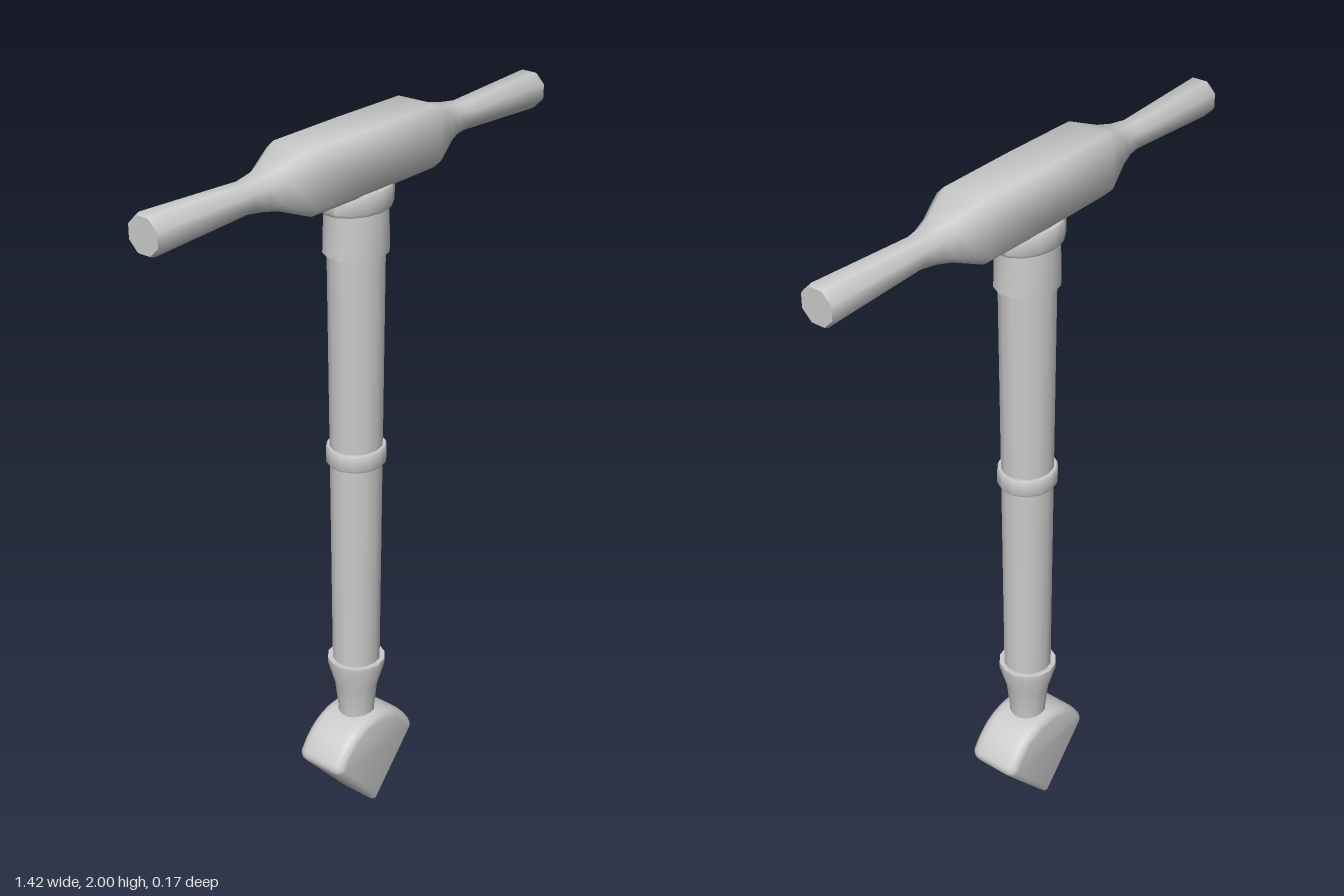
import * as THREE from 'three';
import { toCreasedNormals } from 'three/addons/utils/BufferGeometryUtils.js';

const material = new THREE.MeshStandardMaterial({ color: 0xcccccc });

// Skin a stack of rings { y, points: [[x, z], ...] } and cap both ends.
function loft(rings, crease) {
  const n = rings[0].points.length, last = (rings.length - 1) * n;
  const pos = [], index = [];
  for (const { y, points } of rings) for (const [x, z] of points) pos.push(x, y, z);
  for (let i = 0; i < rings.length - 1; i++) {
    for (let j = 0; j < n; j++) {
      const a = i * n + j, b = i * n + (j + 1) % n;
      index.push(a, b, b + n, a, b + n, a + n);
    }
  }
  for (let j = 1; j < n - 1; j++) {
    index.push(0, j + 1, j);
    index.push(last, last + j, last + j + 1);
  }
  const g = new THREE.BufferGeometry();
  g.setAttribute('position', new THREE.Float32BufferAttribute(pos, 3));
  g.setIndex(index);
  return toCreasedNormals(g, crease);
}

function ellipse(y, rx, rz, n = 14) {
  const points = [];
  for (let i = 0; i < n; i++) {
    const a = ((i + 0.5) / n) * Math.PI * 2;
    points.push([rx * Math.cos(a), -rz * Math.sin(a)]);
  }
  return { y, points };
}

// Rectangle with cut corners; c is the cut as a share of the half size.
function cutRect(y, hx, hz, c) {
  const ix = hx * (1 - c), iz = hz * (1 - c);
  return { y, points: [[hx, iz], [hx, -iz], [ix, -hz], [-ix, -hz], [-hx, -iz], [-hx, iz], [-ix, hz], [ix, hz]] };
}

export function createModel() {
  const model = new THREE.Group();
  const add = (name, geometry) => {
    const mesh = new THREE.Mesh(geometry, material);
    mesh.name = name;
    model.add(mesh);
    return mesh;
  };

  // Round parts, bottom to top: [y, x radius, z radius]
  const roundParts = {
    lowerSocket: [[0.28, 0.05, 0.05], [0.31, 0.051, 0.051], [0.39, 0.06, 0.06], [0.46, 0.08, 0.08], [0.475, 0.08, 0.08]],
    shaft: [[0.44, 0.066, 0.066], [1.1, 0.073, 0.068], [1.7, 0.08, 0.07]],
    middleBand: [[1.087, 0.08, 0.076], [1.093, 0.083, 0.079], [1.13, 0.083, 0.079], [1.136, 0.08, 0.076]],
    upperCollar: [[1.675, 0.09, 0.081], [1.8, 0.086, 0.078]],
    topRing: [[1.79, 0.102, 0.08], [1.798, 0.107, 0.084], [1.835, 0.107, 0.084], [1.845, 0.102, 0.08]],
  };
  for (const [name, rows] of Object.entries(roundParts)) {
    add(name, loft(rows.map(([y, rx, rz]) => ellipse(y, rx, rz)), 0.75));
  }

  // Crossbar: thick block narrowing into two flared grips
  // [distance from middle, half height, half depth, corner cut]
  const half = [
    [0.23, 0.08, 0.081, 0.28], [0.31, 0.05, 0.053, 0.4], [0.35, 0.042, 0.043, 0.5],
    [0.4, 0.036, 0.037, 0.55], [0.7, 0.048, 0.049, 0.58], [0.71, 0.044, 0.045, 0.58],
  ];
  const rows = [
    ...half.map(([d, ...r]) => [-d, ...r]).reverse(),
    [0, 0.08, 0.085, 0.28],
    ...half,
  ];
  const bar = loft(rows.map((r) => cutRect(...r)), 0.9);
  bar.rotateZ(-Math.PI / 2);
  add('handle', bar).position.y = 1.92;

  // Pointed foot: a wedge with a domed top and bevelled rims
  const outline = new THREE.Shape();
  outline.moveTo(0, 0.004);
  outline.lineTo(0.155, 0.177);
  outline.quadraticCurveTo(0.167, 0.191, 0.157, 0.21);
  outline.bezierCurveTo(0.125, 0.265, 0.075, 0.305, 0, 0.305);
  outline.bezierCurveTo(-0.075, 0.305, -0.125, 0.265, -0.157, 0.21);
  outline.quadraticCurveTo(-0.167, 0.191, -0.155, 0.177);
  outline.lineTo(0, 0.004);
  const foot = new THREE.ExtrudeGeometry(outline, {
    depth: 0.096, curveSegments: 6, bevelEnabled: true,
    bevelThickness: 0.03, bevelSize: 0.022, bevelOffset: -0.022, bevelSegments: 3,
  });
  foot.translate(0, -0.004, -0.048);
  add('foot', toCreasedNormals(foot, 0.8));

  return model;
}
